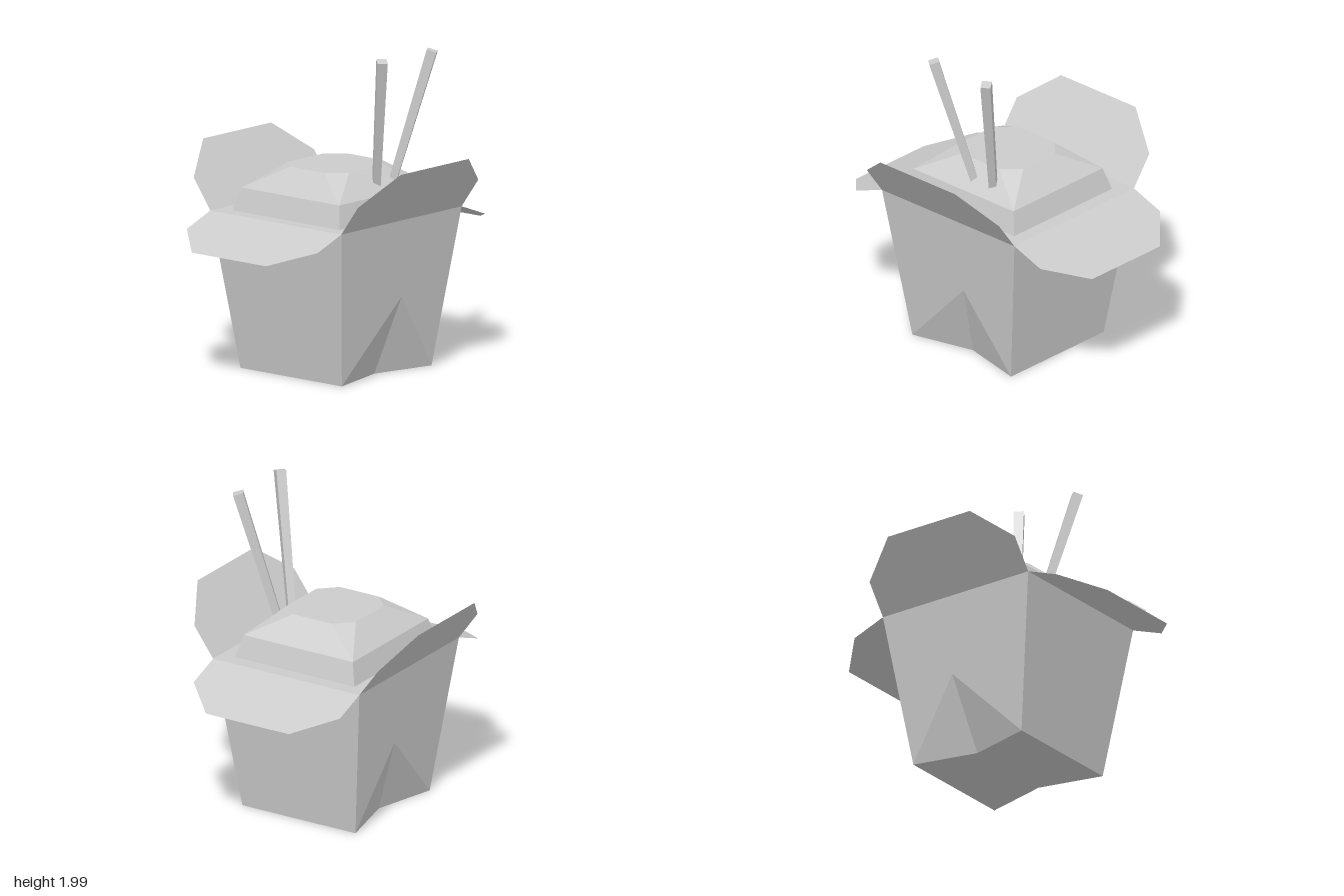
import * as THREE from 'three';

const grey = new THREE.MeshStandardMaterial({ color: 0xcccccc, flatShading: true });
const greySheet = new THREE.MeshStandardMaterial({ color: 0xcccccc, flatShading: true, side: THREE.DoubleSide });

// Mesh from convex polygons (counter-clockwise from outside), skipping collapsed triangles
function polyMesh(name, faces, material = grey) {
  const pos = [];
  for (const f of faces) {
    for (let i = 1; i < f.length - 1; i++) {
      const tri = [f[0], f[i], f[i + 1]].map(p => new THREE.Vector3(...p));
      if (new THREE.Triangle(...tri).getArea() < 1e-7) continue;
      tri.forEach(v => pos.push(v.x, v.y, v.z));
    }
  }
  const g = new THREE.BufferGeometry();
  g.setAttribute('position', new THREE.Float32BufferAttribute(pos, 3));
  g.computeVertexNormals();
  const m = new THREE.Mesh(g, material);
  m.name = name;
  return m;
}

const mirrorX = f => f.map(([x, y, z]) => [-x, y, z]).reverse();

// Walls between successive rings, closed on top
function loft(rings) {
  const faces = [rings[rings.length - 1]];
  for (let r = 0; r < rings.length - 1; r++) {
    const a = rings[r], b = rings[r + 1], n = a.length;
    for (let i = 0; i < n; i++) {
      const j = (i + 1) % n;
      faces.push([a[i], a[j], b[j], b[i]]);
    }
  }
  return faces;
}

// Eight-point rectangle with cut corners: half sizes w, d; straight half lengths cw, cd
function cutRect(y, w, d, cw = w, cd = d) {
  return [[-cw, y, d], [cw, y, d], [w, y, cd], [w, y, -cd],
    [cw, y, -d], [-cw, y, -d], [-w, y, -cd], [-w, y, cd]];
}

// Square stick, widening from base to top, turned to face its lean
function stick(name, base, top) {
  const a = new THREE.Vector3(...base), b = new THREE.Vector3(...top);
  const dir = b.clone().sub(a).normalize();
  const side = new THREE.Vector3(dir.z, 0, -dir.x).normalize();
  const other = new THREE.Vector3().crossVectors(dir, side);
  const ring = (c, h) => [[-1, -1], [1, -1], [1, 1], [-1, 1]].map(([u, v]) =>
    c.clone().addScaledVector(side, u * h).addScaledVector(other, v * h).toArray());
  const low = ring(a, 0.022), high = ring(b, 0.031);
  return polyMesh(name, [...loft([low, high]), low.slice().reverse()]);
}

export function createModel() {
  const model = new THREE.Group();
  model.name = 'takeoutBox';

  // Tapered carton, with a fold pushed in at the foot of each side wall
  const b1 = [0.41, 0, 0.41], b2 = [0.41, 0, -0.41];
  const t1 = [0.53, 0.98, 0.55], t2 = [0.53, 0.98, -0.55];
  const apex = [0.47, 0.49, -0.07], fold = [0.31, 0, 0];
  const half = [
    [b1, apex, t1], [t1, apex, t2], [apex, b2, t2], [b1, fold, apex], [fold, b2, apex],
    [[0, 0, 0.41], b1, t1, [0, 0.98, 0.55]],
    [b2, [0, 0, -0.41], [0, 0.98, -0.55], t2],
    [[0, 0, 0], fold, b1, [0, 0, 0.41]],
    [[0, 0, -0.41], b2, fold, [0, 0, 0]],
    [[0, 0.98, 0.55], t1, t2, [0, 0.98, -0.55]],
  ];
  model.add(polyMesh('carton', [...half, ...half.map(mirrorX)]));

  // Open flaps: front and back droop, the sides stand up
  for (const s of [1, -1]) {
    model.add(polyMesh(s > 0 ? 'frontFlap' : 'backFlap', [[
      [-0.53, 0.98, 0.55 * s], [-0.53, 0.9, 0.765 * s], [-0.3, 0.82, 0.98 * s],
      [0.3, 0.82, 0.98 * s], [0.53, 0.9, 0.765 * s], [0.53, 0.98, 0.55 * s],
    ]], greySheet));
    model.add(polyMesh(s > 0 ? 'leftFlap' : 'rightFlap', [[
      [0.53 * s, 0.98, 0.55], [0.665 * s, 1.165, 0.55], [0.8 * s, 1.35, 0.31],
      [0.8 * s, 1.35, -0.31], [0.665 * s, 1.165, -0.55], [0.53 * s, 0.98, -0.55],
    ]], greySheet));
  }

  // Faceted mound of food
  model.add(polyMesh('foodMound', loft([
    cutRect(0.98, 0.433, 0.457),
    cutRect(1.12, 0.395, 0.416),
    cutRect(1.26, 0.245, 0.26, 0.14, 0.155),
  ])));

  // Chopsticks, with their lower ends sunk in the food
  model.add(stick('frontChopstick', [0.29, 1.06, -0.035], [0.503, 1.985, 0.147]));
  model.add(stick('backChopstick', [0.283, 1.06, -0.15], [0.513, 1.985, -0.3]));

  return model;
}
